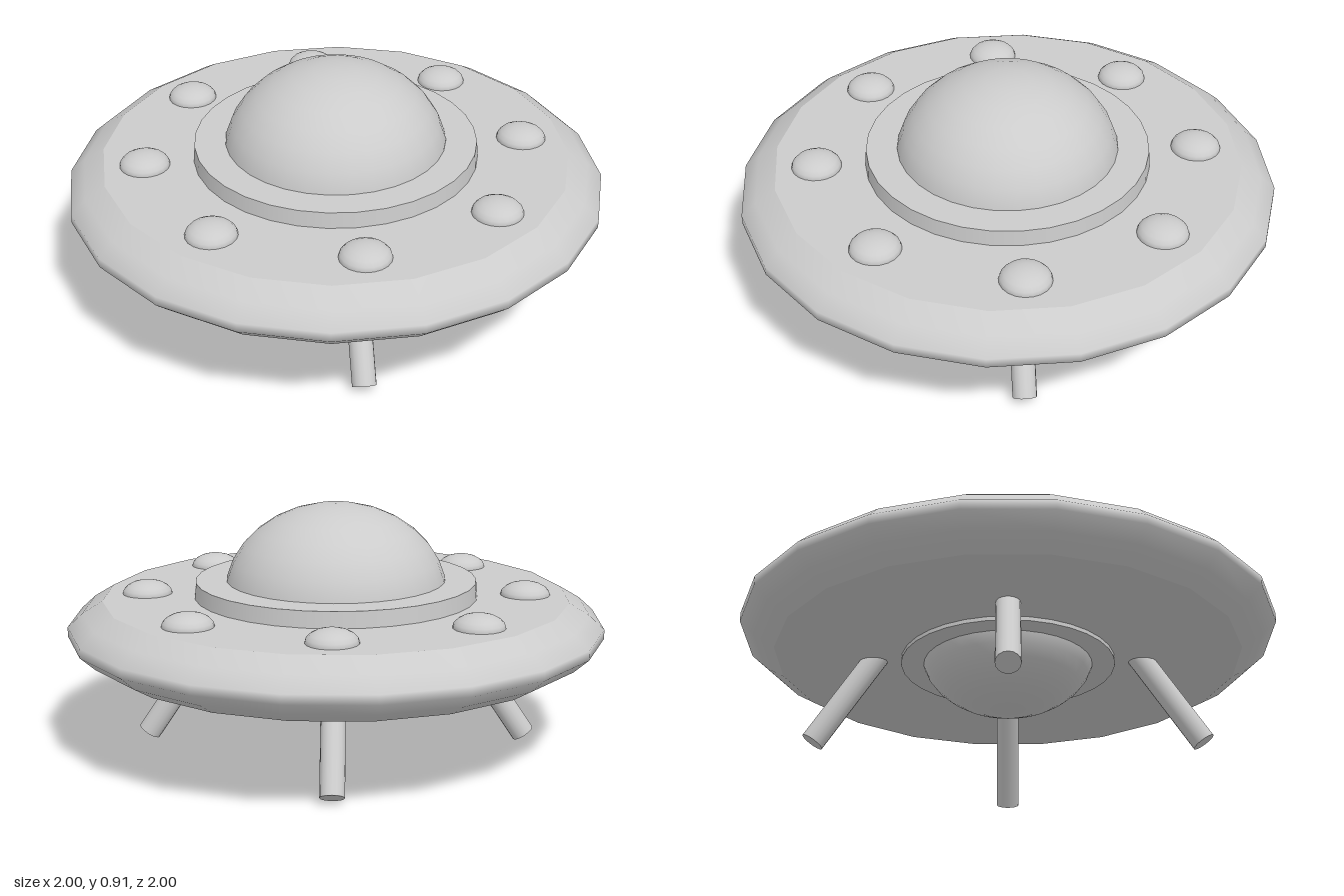
import * as THREE from 'three';

const grey = new THREE.MeshStandardMaterial({ color: 0xcccccc });

function add(parent, name, geometry, x = 0, y = 0, z = 0) {
  const mesh = new THREE.Mesh(geometry, grey);
  mesh.name = name;
  mesh.position.set(x, y, z);
  parent.add(mesh);
  return mesh;
}

// Flat disc facing up (1) or down (-1)
function disc(radius, sides, facing) {
  return new THREE.CircleGeometry(radius, sides).rotateX(-facing * Math.PI / 2);
}

// Flattened sphere, used for domes and lights
function dome(radius, height, segments = 32) {
  return new THREE.SphereGeometry(radius, segments, segments / 2).scale(1, height / radius, 1);
}

export function createModel() {
  const ship = new THREE.Group();
  ship.name = 'flyingSaucer';

  // Saucer hull: rounded 20-sided rim closed by flat plates
  const profile = [[0.87, 0.345], [0.945, 0.39], [1, 0.44], [1, 0.475], [0.945, 0.525], [0.87, 0.57]]
    .map(([r, y]) => new THREE.Vector2(r, y));
  add(ship, 'hullRim', new THREE.LatheGeometry(profile, 20));
  add(ship, 'hullTop', disc(0.87, 20, 1), 0, 0.57);
  add(ship, 'hullBottom', disc(0.87, 20, -1), 0, 0.345);

  // Collars and domes above and below
  add(ship, 'upperCollar', new THREE.CylinderGeometry(0.525, 0.532, 0.08, 32), 0, 0.59);
  add(ship, 'cockpitDome', dome(0.417, 0.345), 0, 0.57);
  add(ship, 'lowerCollar', new THREE.CylinderGeometry(0.4, 0.4, 0.04, 32), 0, 0.35);
  add(ship, 'bellyDome', dome(0.324, 0.23), 0, 0.38);

  // Ring of eight lights
  const lights = new THREE.Group();
  lights.name = 'lights';
  ship.add(lights);
  for (let i = 0; i < 8; i++) {
    const a = i * Math.PI / 4;
    add(lights, 'light', dome(0.093, 0.05, 20), 0.71 * Math.cos(a), 0.57, 0.71 * Math.sin(a));
  }

  // Four splayed legs on the diagonals
  const legs = new THREE.Group();
  legs.name = 'legs';
  ship.add(legs);
  const up = new THREE.Vector3(0, 1, 0);
  for (const sx of [-1, 1]) for (const sz of [-1, 1]) {
    const foot = new THREE.Vector3(0.507 * sx, 0.025, 0.507 * sz);
    const hip = new THREE.Vector3(0.335 * sx, 0.39, 0.335 * sz);
    const axis = hip.clone().sub(foot);
    const leg = add(legs, 'leg', new THREE.CylinderGeometry(0.044, 0.044, axis.length(), 16));
    leg.position.copy(foot).add(hip).multiplyScalar(0.5);
    leg.quaternion.setFromUnitVectors(up, axis.normalize());
  }

  return ship;
}
